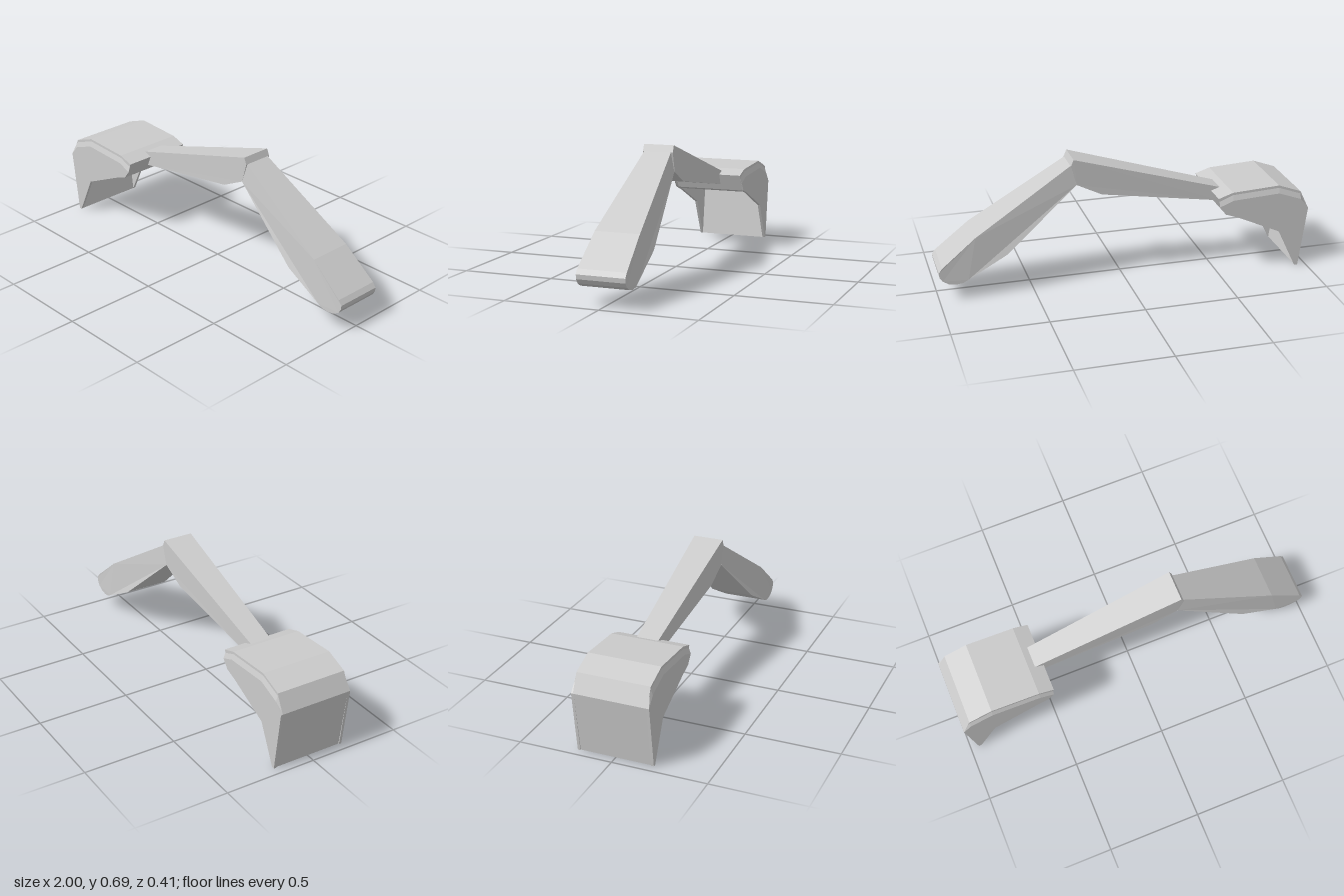
import * as THREE from 'three';

// Flat-shaded prism along z. front and back are matching counter-clockwise
// outlines of [x, y, z] corners.
function prism(front, back) {
  const n = front.length;
  const pos = [];
  const tri = (...corners) => corners.forEach((c) => pos.push(...c));
  const flat = front.map(([x, y]) => new THREE.Vector2(x, y));
  for (const [a, b, c] of THREE.ShapeUtils.triangulateShape(flat, [])) {
    tri(front[a], front[b], front[c]);
    tri(back[c], back[b], back[a]);
  }
  for (let i = 0; i < n; i++) {
    const j = (i + 1) % n;
    tri(back[i], back[j], front[j]);
    tri(back[i], front[j], front[i]);
  }
  const geometry = new THREE.BufferGeometry();
  geometry.setAttribute('position', new THREE.Float32BufferAttribute(pos, 3));
  geometry.computeVertexNormals();
  return geometry;
}

// Prism whose half width is given at each [x, y, halfWidth] corner
function beam(profile, zMid) {
  return prism(
    profile.map(([x, y, w]) => [x, y, zMid + w]),
    profile.map(([x, y, w]) => [x, y, zMid - w])
  );
}

export function createModel() {
  const group = new THREE.Group();
  const material = new THREE.MeshStandardMaterial({ color: 0xcccccc, flatShading: true });
  const add = (name, geometry) => {
    const mesh = new THREE.Mesh(geometry, material);
    mesh.name = name;
    group.add(mesh);
  };

  // Bucket shell: thin back wall and thick top, open towards the arm
  const shell = [
    [-0.95, 0], [-0.94, 0], [-0.985, 0.333], [-0.55, 0.335], [-0.53, 0.345],
    [-0.49, 0.435], [-0.57, 0.462], [-0.83, 0.476], [-0.955, 0.43], [-1, 0.335],
  ];
  add('bucketShell', beam(shell.map(([x, y]) => [x, y, 0.194]), 0));

  // Bucket cheek plates, with the top edge chamfered on the outside
  const inner = [
    [-0.955, 0], [-0.94, 0], [-0.84, 0.21], [-0.6, 0.32], [-0.53, 0.345],
    [-0.495, 0.43], [-0.57, 0.46], [-0.83, 0.474], [-0.955, 0.428], [-1, 0.335],
  ];
  const outer = inner.map(([x, y]) => [x, y > 0.4 ? y - 0.04 : y]);
  const at = (outline, z) => outline.map(([x, y]) => [x, y, z]);
  add('bucketLeftCheek', prism(at(outer, 0.204), at(inner, 0.19)));
  add('bucketRightCheek', prism(at(inner, -0.19), at(outer, -0.204)));

  // Stick: tapers towards the bucket
  add('stick', beam([
    [-0.54, 0.373, 0.058], [0.12, 0.487, 0.078], [0.255, 0.555, 0.081],
    [0.285, 0.66, 0.082], [0.27, 0.695, 0.082], [-0.54, 0.45, 0.058],
  ], -0.0115));

  // Boom: widens towards its rounded foot
  add('boom', beam([
    [0.255, 0.555, 0.08], [0.635, 0.225, 0.122], [0.845, 0.11, 0.127],
    [0.875, 0.094, 0.127], [0.91, 0.09, 0.127], [0.95, 0.097, 0.127],
    [0.98, 0.115, 0.127], [0.995, 0.138, 0.127], [0.998, 0.162, 0.127],
    [0.98, 0.187, 0.127], [0.8, 0.335, 0.118], [0.285, 0.66, 0.073],
  ], -0.01));

  return group;
}
